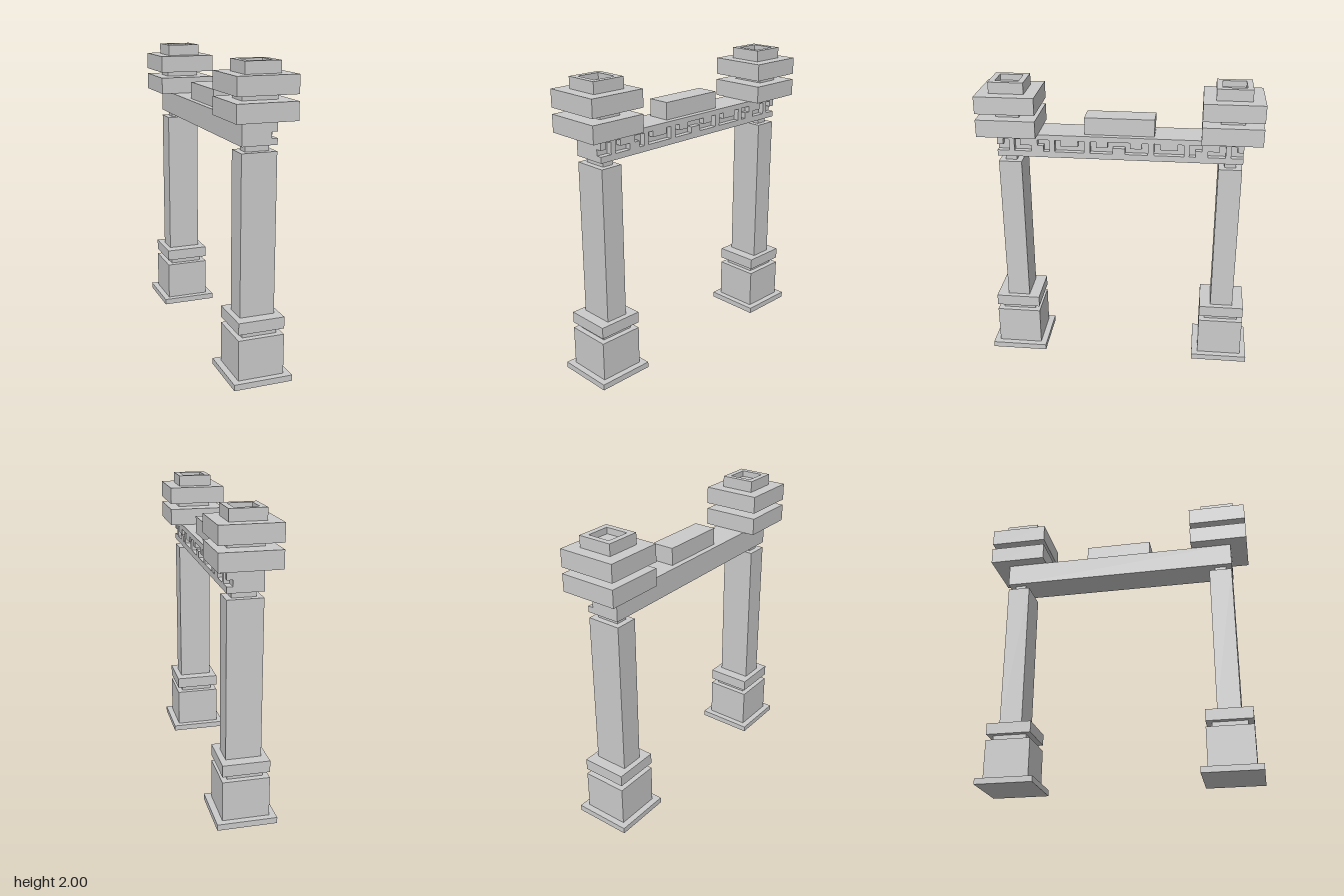
import * as THREE from 'three';

const material = new THREE.MeshStandardMaterial({ color: 0xcccccc, flatShading: true });

function box(name, halfX, halfZ, y0, y1, x = 0) {
  const mesh = new THREE.Mesh(new THREE.BoxGeometry(halfX * 2, y1 - y0, halfZ * 2), material);
  mesh.name = name;
  mesh.position.set(x, (y0 + y1) / 2, 0);
  return mesh;
}

const points = (list) => list.map(([x, y]) => new THREE.Vector2(x, y));

function extrude(name, outline, holes, depth) {
  const shape = new THREE.Shape(points(outline));
  shape.holes = holes.map((h) => new THREE.Path(points(h)));
  const mesh = new THREE.Mesh(new THREE.ExtrudeGeometry(shape, { depth, bevelEnabled: false }), material);
  mesh.name = name;
  return mesh;
}

const square = (r) => [[-r, -r], [r, -r], [r, r], [-r, r]];

// One pillar: stepped base, flat shaft, double capital and a hollow top
function pillar(name, z) {
  const g = new THREE.Group();
  g.name = name;
  g.position.z = z;
  g.add(
    box('plinth', 0.195, 0.195, 0, 0.04),
    box('pedestal', 0.153, 0.153, 0.04, 0.308),
    box('pedestalNeck', 0.115, 0.115, 0.308, 0.347),
    box('collar', 0.153, 0.153, 0.347, 0.424),
    box('shaft', 0.115, 0.077, 0.424, 1.46),
    box('shaftNeck', 0.077, 0.038, 1.46, 1.5),
    box('lowerCapital', 0.195, 0.195, 1.655, 1.77),
    box('capitalNeck', 0.115, 0.077, 1.77, 1.81),
    box('upperCapital', 0.195, 0.195, 1.81, 1.925),
    box('cupFloor', 0.077, 0.077, 1.925, 1.96)
  );
  const rim = extrude('cupRim', square(0.115), [square(0.077)], 0.075);
  rim.rotation.x = -Math.PI / 2;
  rim.position.y = 1.925;
  g.add(rim);
  return g;
}

// Carved plate along the beam; the key pattern is mirrored about its middle
function fretPlate() {
  const lo = 1.54, mid = 1.58, hi = 1.62;
  const half = [
    // L, hook and U channels
    [[0.58, lo], [0.695, lo], [0.695, hi], [0.655, hi], [0.655, mid], [0.58, mid]],
    [[0.46, lo], [0.5, lo], [0.5, mid], [0.54, mid], [0.54, hi], [0.46, hi]],
    [[0.23, lo], [0.425, lo], [0.425, hi], [0.385, hi], [0.385, mid], [0.27, mid], [0.27, hi], [0.23, hi]]
  ];
  const flip = (p) => p.map(([x, y]) => [-x, y]).reverse();
  // Long wave in the middle
  const side = [[0.04, mid], [0.04, lo], [0.19, lo], [0.19, hi], [0.15, hi], [0.15, mid], [0.075, mid], [0.075, hi]];
  const holes = [...half, ...half.map(flip), [...side, ...flip(side)]];
  // Outer edge with the channels that run out at the beam ends
  const end = [[0.81, 1.5], [0.81, lo], [0.73, lo], [0.73, hi], [0.77, hi], [0.77, mid], [0.81, mid], [0.81, 1.655]];
  const plate = extrude('fretPlate', [...end, ...flip(end)], holes, 0.038);
  plate.rotation.y = Math.PI / 2;
  plate.position.x = 0.077;
  return plate;
}

export function createModel() {
  const model = new THREE.Group();
  model.name = 'gateway';
  model.add(pillar('frontPillar', 0.73), pillar('backPillar', -0.73));

  const lintel = new THREE.Group();
  lintel.name = 'lintel';
  lintel.add(
    box('beam', 0.096, 0.81, 1.5, 1.655, -0.019),
    fretPlate(),
    box('crestBlock', 0.077, 0.23, 1.655, 1.77)
  );
  model.add(lintel);
  return model;
}
